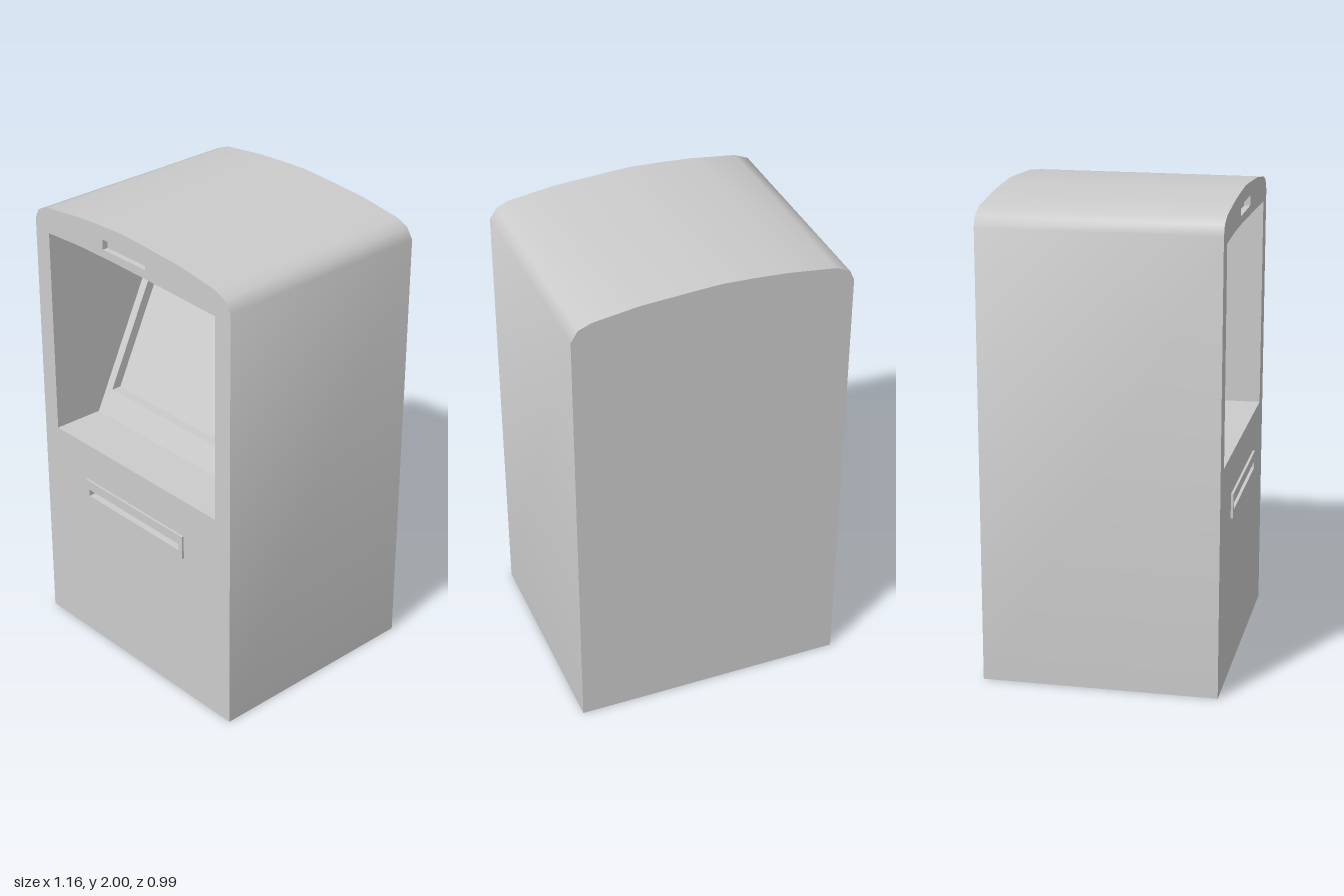
import * as THREE from 'three';
import { toCreasedNormals } from 'three/addons/utils/BufferGeometryUtils.js';

const FRONT = 0.485, BACK = -0.495;
const grey = new THREE.MeshStandardMaterial({ color: 0xcccccc });

// Slanted display panel: depth as a function of height
const panelZ = (y) => 0.26 - (y - 0.95) * 0.476;

const rect = (x0, x1, y0, y1) => [[x0, y0], [x1, y0], [x1, y1], [x0, y1]];
const at = (loop, z) => loop.map(([x, y]) => [x, y, typeof z === 'function' ? z(y) : z]);

// Flat face with optional holes; z is a number or a rule of y
function face(loop, z, holes = []) {
  const toVec = (l) => l.map(([x, y]) => new THREE.Vector2(x, y));
  const shape = new THREE.Shape(toVec(loop));
  shape.holes = holes.map((h) => new THREE.Path(toVec(h)));
  const geo = new THREE.ShapeGeometry(shape);
  const p = geo.attributes.position;
  for (let i = 0; i < p.count; i++) p.setZ(i, typeof z === 'function' ? z(p.getY(i)) : z);
  geo.computeVertexNormals();
  return geo;
}

// Wall joining a front loop to a back loop; inward makes it the lining of a hole
function wall(front, back, inward = false) {
  const verts = [];
  front.forEach((a, i) => {
    const j = (i + 1) % front.length;
    const [b, c, d] = [back[i], back[j], front[j]];
    verts.push(...(inward ? [a, c, b, a, d, c] : [a, b, c, a, c, d]).flat());
  });
  const geo = new THREE.BufferGeometry();
  geo.setAttribute('position', new THREE.Float32BufferAttribute(verts, 3));
  return toCreasedNormals(geo, 0.85);
}

export function createModel() {
  const model = new THREE.Group();
  const add = (name, geo) => {
    const mesh = new THREE.Mesh(geo, grey);
    mesh.name = name;
    model.add(mesh);
    return mesh;
  };

  // Cabinet outline with a gently arched top, counter-clockwise from the front
  const outline = [
    [-0.58, 0], [0.58, 0], [0.58, 1.883], [0.55, 1.93], [0.495, 1.952], [0.305, 1.98],
    [0.07, 1.995], [-0.03, 2], [-0.16, 1.995], [-0.3, 1.986], [-0.5, 1.962],
    [-0.56, 1.936], [-0.58, 1.894],
  ];
  // Display niche: opening in the front, narrowing to the slanted panel
  const arch = [[0.495, 1.844], [0.22, 1.853], [-0.09, 1.861], [-0.31, 1.861], [-0.497, 1.852]];
  const opening = [[-0.497, 0.95], [0.495, 0.95], ...arch];
  const panel = [[-0.497, 0.947], [0.495, 0.947], ...arch.map(([x, y]) => [x, y - 0.19])];
  const screen = rect(-0.46, 0.305, 1.048, 1.525);
  const slot = rect(-0.285, 0.285, 0.71, 0.74);
  const sign = rect(-0.155, 0.1, 1.895, 1.938);

  // Cabinet
  add('cabinetFront', face(outline, FRONT, [opening, slot, sign]));
  add('cabinetShell', wall(at(outline, FRONT), at(outline, BACK)));
  const rear = face(outline.map(([x, y]) => [-x, y]).reverse(), 0);
  rear.rotateY(Math.PI).translate(0, 0, BACK);
  add('cabinetBack', rear);

  // Niche lining and display panel
  add('nicheLining', wall(at(opening, FRONT), at(panel, panelZ), true));
  add('displayPanel', face(panel, panelZ, [screen]));

  // Sunken screen
  const screenZ = (y) => panelZ(y) - 0.045;
  add('screenRim', wall(at(screen, panelZ), at(screen, screenZ), true));
  add('screen', face(screen, screenZ));

  // Thin key marks beside the screen
  for (const y of [1.123, 1.268, 1.415]) {
    const mark = add('keyMark', new THREE.BoxGeometry(0.125, 0.007, 0.012));
    mark.position.set(0.432, y, panelZ(y));
  }

  // Small sunken sign above the niche
  add('signRim', wall(at(sign, FRONT), at(sign, FRONT - 0.025), true));
  add('signFloor', face(sign, FRONT - 0.025));

  // Cash slot with a raised surround
  const bezel = rect(-0.305, 0.305, 0.677, 0.782);
  add('slotSurround', face(bezel, 0.495, [slot]));
  add('slotSurroundEdge', wall(at(bezel, 0.495), at(bezel, FRONT)));
  add('slotLining', wall(at(slot, 0.495), at(slot, 0.41), true));
  add('slotFloor', face(slot, 0.41));

  return model;
}
